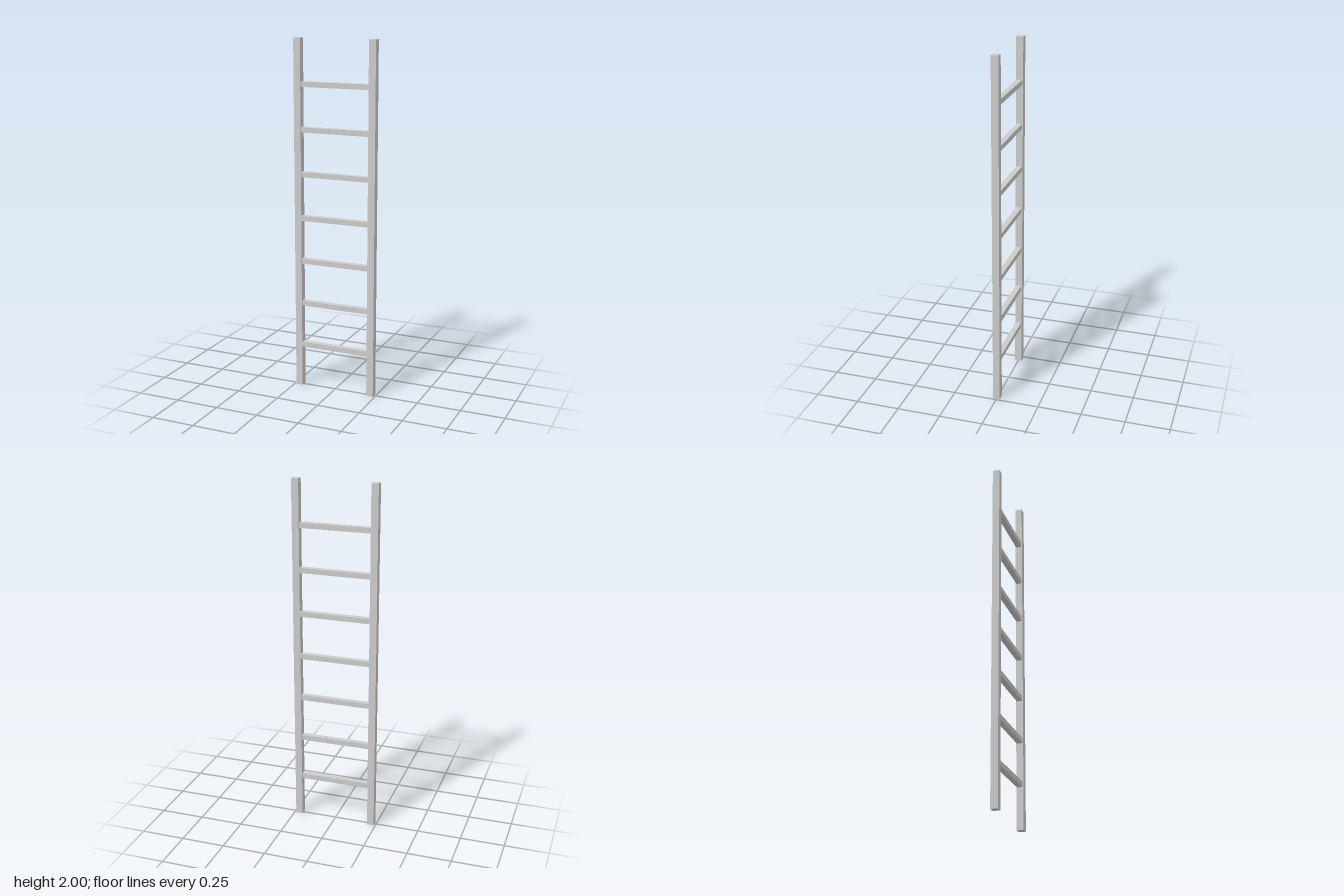
import * as THREE from 'three';

export function createModel() {
  const ladder = new THREE.Group();
  ladder.name = 'ladder';
  const material = new THREE.MeshStandardMaterial({ color: 0xcccccc, flatShading: true });

  const addBox = (name, size, position) => {
    const mesh = new THREE.Mesh(new THREE.BoxGeometry(...size), material);
    mesh.name = name;
    mesh.position.set(...position);
    ladder.add(mesh);
  };

  // Two square side rails
  for (const side of [-1, 1]) {
    addBox(side > 0 ? 'leftRail' : 'rightRail', [0.04, 2, 0.04], [side * 0.22, 1, 0]);
  }

  // Seven evenly spaced rungs between the rails
  for (let i = 1; i <= 7; i++) {
    addBox(`rung${i}`, [0.4, 0.029, 0.032], [0, i * 0.25, 0]);
  }

  return ladder;
}
